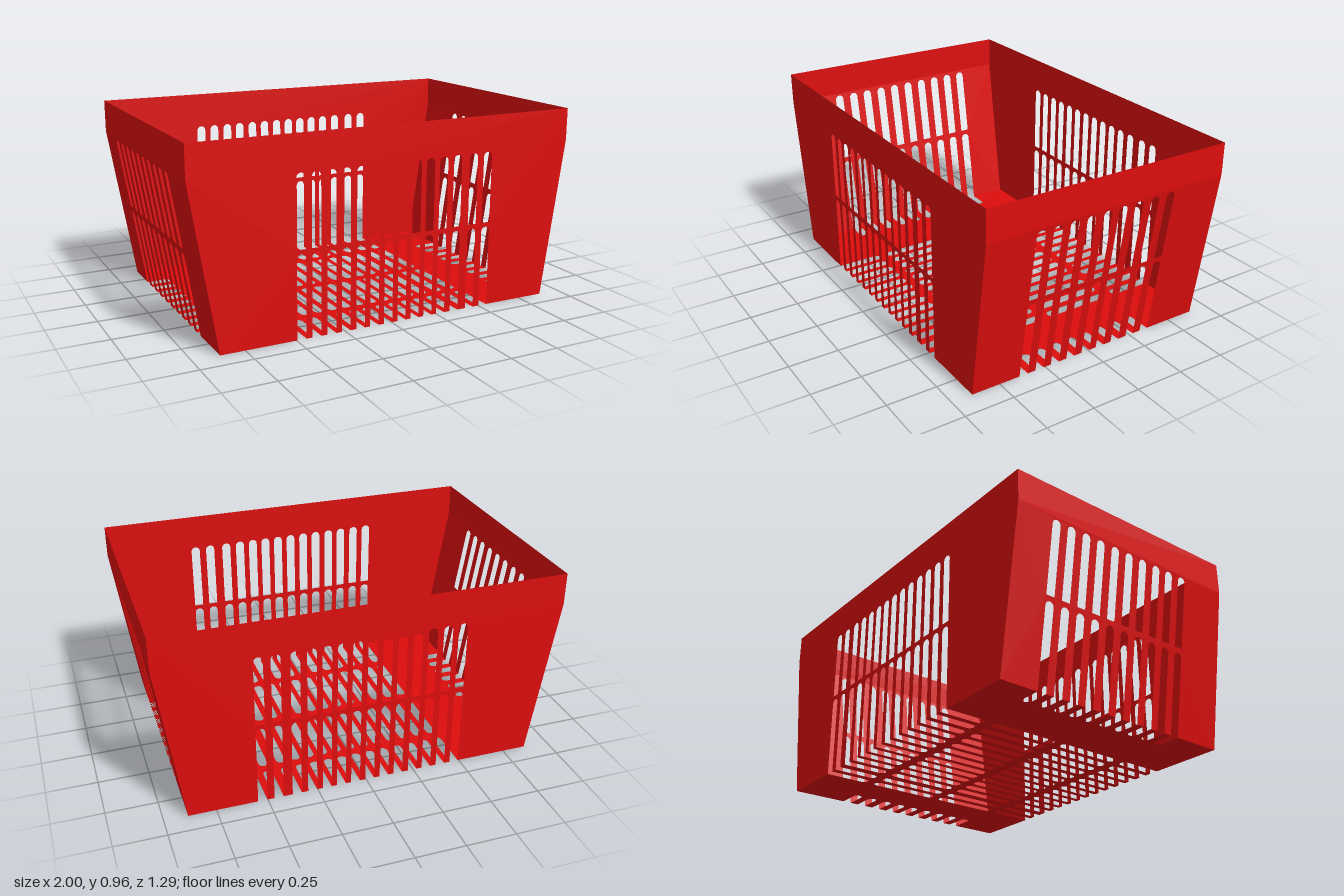
import * as THREE from 'three';

const HEIGHT = 0.96, KINK = 0.8, DEPTH = 0.645;
const FOOT_LEFT = 0.885, FOOT_RIGHT = -0.87;
const SLOT = 0.046;

// Slot centres along the long walls and floor, and along each end wall
const longSlots = [-0.472, -0.396, -0.319, -0.245, -0.168, -0.094, -0.019,
  0.055, 0.128, 0.201, 0.275, 0.353, 0.444, 0.525];
const leftSlots = [-0.34, -0.25, -0.158, -0.068, 0.017, 0.106, 0.195, 0.282, 0.37];
const rightSlots = [-0.425, -0.337, -0.248, -0.16, -0.07, 0.019, 0.107, 0.196, 0.282, 0.37];

// Points of a slot that starts flat at (x, y), runs along angle and ends in a semicircle
function slotPoints(x, y, angle, length) {
  const along = new THREE.Vector2(Math.cos(angle), Math.sin(angle));
  const across = new THREE.Vector2(along.y, -along.x);
  const r = SLOT / 2;
  const at = (s, t) => new THREE.Vector2(x, y).addScaledVector(along, s).addScaledVector(across, t);
  const pts = [at(0, -r)];
  for (let i = 0; i <= 12; i++) {
    const a = Math.PI * (1 - i / 12);
    pts.push(at(length - r + r * Math.sin(a), r * Math.cos(a)));
  }
  pts.push(at(0, r));
  return pts;
}

// Closed hole with a flat start, or round at both ends
function slotHole(x, y0, y1, roundBoth) {
  if (!roundBoth) return new THREE.Path(slotPoints(x, y0, Math.PI / 2, y1 - y0));
  const mid = (y0 + y1) / 2, half = (y1 - y0) / 2;
  const up = slotPoints(x, mid, Math.PI / 2, half).slice(1, -1);
  const down = slotPoints(x, mid, -Math.PI / 2, half).slice(1, -1);
  return new THREE.Path([...up, ...down]);
}

// Open slots cut into the edge of a panel, in the order they are met
const notches = (centres, place, angle, length) =>
  centres.flatMap((c) => slotPoints(...place(c), angle, length));

export function createModel() {
  const group = new THREE.Group();
  group.name = 'basket';
  const material = new THREE.MeshStandardMaterial({ color: 0xdd0d0d, side: THREE.DoubleSide });
  const v = (x, y) => new THREE.Vector2(x, y);

  // Turn a flat shape into a panel, placing every vertex with map(u, v)
  function addPanel(name, outline, holes, map) {
    const shape = new THREE.Shape(outline);
    shape.holes.push(...holes);
    const geometry = new THREE.ShapeGeometry(shape).toNonIndexed();
    const pos = geometry.attributes.position;
    for (let i = 0; i < pos.count; i++) pos.setXYZ(i, ...map(pos.getX(i), pos.getY(i)));
    geometry.computeVertexNormals();
    const mesh = new THREE.Mesh(geometry, material);
    mesh.name = name;
    group.add(mesh);
  }

  // Front and back walls
  const wallOutline = [
    v(FOOT_RIGHT, 0),
    ...notches(longSlots, (x) => [x, 0], Math.PI / 2, 0.407),
    v(FOOT_LEFT, 0), v(1, KINK), v(1, HEIGHT), v(-1, HEIGHT), v(-1, KINK),
  ];
  const wallHoles = longSlots.map((x) => slotHole(x, 0.429, 0.782));
  addPanel('frontWall', wallOutline, wallHoles, (x, y) => [x, y, DEPTH]);
  addPanel('backWall', wallOutline, wallHoles, (x, y) => [x, y, -DEPTH]);

  // End walls: slotted sloping panel with a vertical band above
  for (const [name, top, foot, slots] of [
    ['left', 1, FOOT_LEFT, leftSlots],
    ['right', -1, FOOT_RIGHT, rightSlots],
  ]) {
    addPanel(name + 'Wall', [
      v(-DEPTH, 0),
      ...notches(slots, (z) => [z, 0], Math.PI / 2, 0.405),
      v(DEPTH, 0), v(DEPTH, KINK), v(-DEPTH, KINK),
    ], slots.map((z) => slotHole(z, 0.43, 0.787)),
    (z, y) => [foot + (top - foot) * y / KINK, y, z]);
    addPanel(name + 'Band', [
      v(-DEPTH, KINK), v(DEPTH, KINK), v(DEPTH, HEIGHT), v(-DEPTH, HEIGHT),
    ], [], (z, y) => [top, y, z]);
  }

  // Floor: wall slots run on into all four edges, two rows of closed slots between
  const floorOutline = [
    v(FOOT_RIGHT, -DEPTH),
    ...notches(longSlots, (x) => [x, -DEPTH], Math.PI / 2, 0.22),
    v(FOOT_LEFT, -DEPTH),
    ...notches(leftSlots, (z) => [FOOT_LEFT, z], Math.PI, 0.135),
    v(FOOT_LEFT, DEPTH),
    ...notches([...longSlots].reverse(), (x) => [x, DEPTH], -Math.PI / 2, 0.228),
    v(FOOT_RIGHT, DEPTH),
    ...notches([...rightSlots].reverse(), (z) => [FOOT_RIGHT, z], 0, 0.115),
  ];
  const floorHoles = longSlots.flatMap((x) => [
    slotHole(x, -0.38, -0.02, true),
    slotHole(x, 0.025, 0.373, true),
  ]);
  addPanel('floor', floorOutline, floorHoles, (x, z) => [x, 0, z]);

  return group;
}
